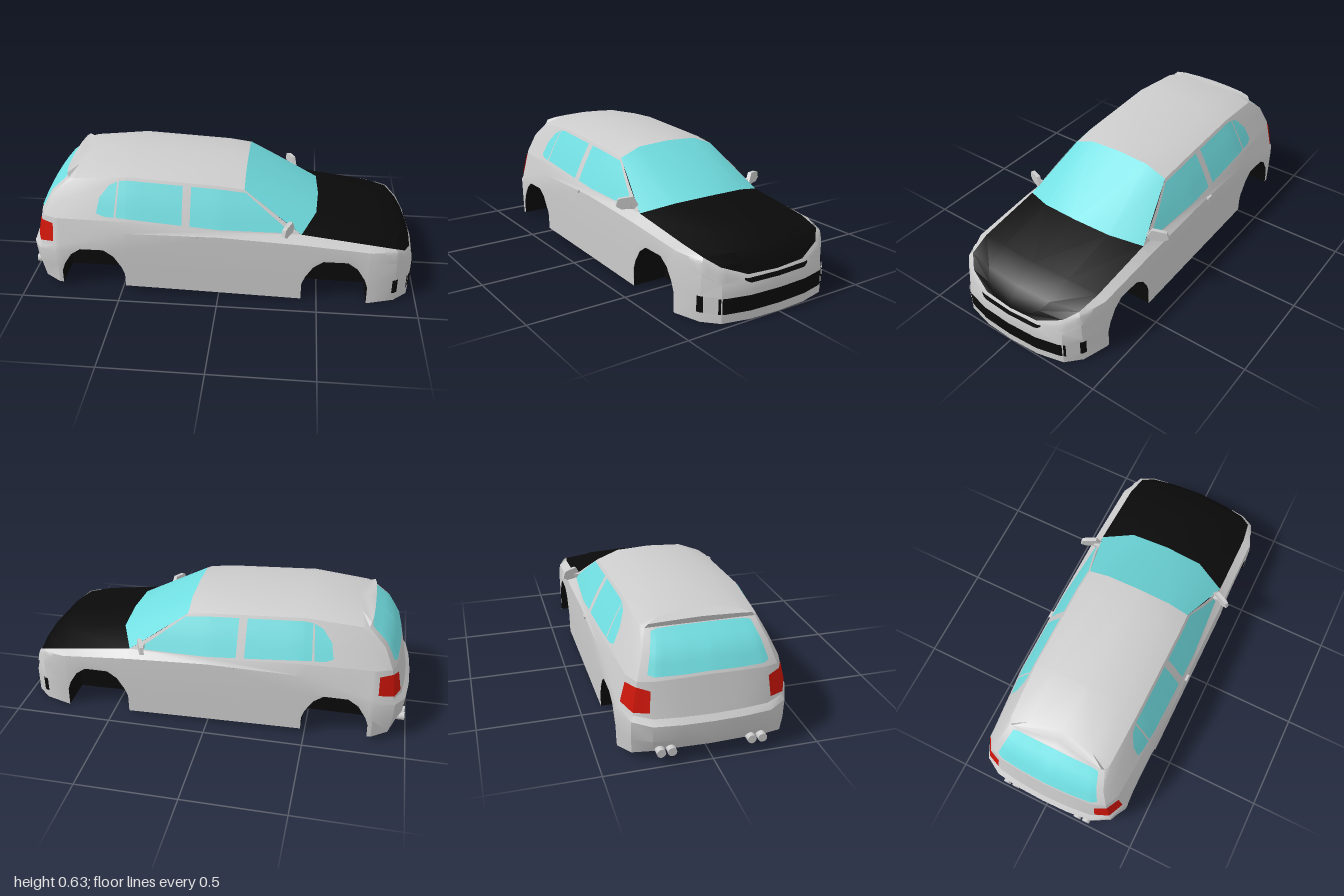
import * as THREE from 'three';
import { toCreasedNormals } from 'three/addons/utils/BufferGeometryUtils.js';

const mat = (color) => new THREE.MeshStandardMaterial({ color, side: THREE.DoubleSide });
const GREY = mat(0xcccccc), BLACK = mat(0x0a0a0a), GLASS = mat(0x70dde0), RED = mat(0xcc1408);
const V = (a) => new THREE.Vector3(...a);
const rowOf = (pts) => pts.map(V);

// Outline rows [x, y, z], nose centre (0) round the +z side to tail centre (12)
const sill = rowOf([[1, .005, 0], [.992, .005, .16], [.96, .005, .295], [.89, .005, .36], [.76, .005, .4], [.41, .01, .4],
  [0, .02, .4], [-.46, .03, .4], [-.83, .03, .395], [-.91, .04, .35], [-.945, .055, .26], [-.955, .06, .13], [-.96, .06, 0]]);
const bumper = rowOf([[1, .135, 0], [.992, .135, .16], [.96, .135, .295], [.89, .135, .36], [.76, .13, .4], [.41, .13, .402],
  [0, .13, .402], [-.46, .13, .402], [-.83, .13, .398], [-.925, .12, .355], [-.972, .12, .27], [-.988, .12, .14], [-.992, .12, 0]]);
const flank = rowOf([[.995, .17, 0], [.985, .17, .17], [.95, .18, .29], [.89, .22, .355], [.76, .25, .402], [.41, .25, .403],
  [0, .25, .403], [-.46, .25, .403], [-.83, .225, .4], [-.93, .21, .355], [-.98, .2, .27], [-.996, .2, .14], [-1, .2, 0]]);
const shoulder = rowOf([[.985, .2, 0], [.975, .2, .17], [.94, .235, .285], [.885, .28, .345], [.76, .3, .395], [.41, .33, .4],
  [0, .35, .4], [-.46, .345, .4], [-.83, .25, .392], [-.92, .235, .345], [-.958, .225, .26], [-.972, .225, .14], [-.978, .225, 0]]);
const belt = rowOf([[.98, .205, 0], [.97, .21, .16], [.93, .255, .28], [.875, .295, .335], [.76, .32, .353], [.41, .365, .357],
  [0, .375, .385], [-.46, .4, .38], [-.83, .39, .355], [-.9, .385, .32], [-.925, .39, .25], [-.935, .395, .13], [-.94, .4, 0]]);

// Bonnet crown, nose (0) to windscreen base (5)
const hoodMid = rowOf([[.98, .205, 0], [.974, .213, .09], [.95, .257, .16], [.91, .3, .19], [.79, .35, .2], [.48, .405, .2]]);
const hoodTop = rowOf([[.98, .205, 0], [.978, .214, 0], [.96, .258, 0], [.92, .302, 0], [.8, .355, 0], [.49, .41, 0]]);

// Roof rows, windscreen pillar (0) to tail centre (7)
const rail = rowOf([[.12, .56, .28], [0, .575, .283], [-.46, .6, .28], [-.74, .575, .268], [-.77, .57, .255],
  [-.775, .573, .2], [-.78, .575, .1], [-.78, .575, 0]]);
const roofMid = rowOf([[.12, .603, .17], [0, .617, .17], [-.46, .635, .17], [-.73, .61, .17], [-.778, .59, .24],
  [-.786, .597, .19], [-.79, .602, .1], [-.79, .605, 0]]);
const roofTop = rowOf([[.12, .612, 0], [0, .62, 0], [-.46, .64, 0], [-.7, .622, 0], [-.75, .613, 0],
  [-.77, .61, 0], [-.78, .607, 0], [-.79, .605, 0]]);

const along = (row, t) => {
  const i = Math.max(0, Math.min(Math.floor(t), row.length - 2));
  return row[i].clone().lerp(row[i + 1], t - i);
};
const surf = (rows, t, v) => along(rows.map((r) => along(r, t)), v);

// Wheel arch height above ground at x
const archX = [-.165, -.164, -.148, -.11, -.06, .06, .11, .148, .164, .165];
const archY = [0, .1, .145, .205, .24, .24, .205, .145, .1, 0];
const centres = [.585, -.645];
function arch(x) {
  for (const c of centres) for (let i = 0; i < 9; i++) {
    const d = x - c;
    if (d >= archX[i] - 1e-6 && d <= archX[i + 1] + 1e-6)
      return THREE.MathUtils.mapLinear(d, archX[i], archX[i + 1], archY[i], archY[i + 1]);
  }
  return 0;
}

// Mesh from a grid of points, mirrored to both sides of the car
function gridMesh(name, material, grid) {
  const pos = [];
  const tri = (a, b, c) => {
    if (b.clone().sub(a).cross(c.clone().sub(a)).length() < 1e-9) return;
    for (const p of [a, b, c]) pos.push(p.x, p.y, p.z);
    for (const p of [a, c, b]) pos.push(p.x, p.y, -p.z);
  };
  for (let r = 0; r + 1 < grid.length; r++) for (let c = 0; c + 1 < grid[r].length; c++) {
    const a = grid[r][c], b = grid[r + 1][c], d = grid[r][c + 1], e = grid[r + 1][c + 1];
    tri(a, b, d);
    tri(b, e, d);
  }
  const g = new THREE.BufferGeometry();
  g.setAttribute('position', new THREE.Float32BufferAttribute(pos, 3));
  const mesh = new THREE.Mesh(toCreasedNormals(g, 0.5), material);
  mesh.name = name;
  return mesh;
}

// Panel lying just above a surface; cols are [t, lower v, upper v]
function patch(name, material, rows, cols, lift = 0.004) {
  const edge = cols.map(V), n = 4, steps = (cols.length - 1) * 4, grid = [];
  for (let r = 0; r <= n; r++) {
    grid.push([]);
    for (let c = 0; c <= steps; c++) {
      const e = along(edge, c / 4), t = e.x, v = THREE.MathUtils.lerp(e.y, e.z, r / n);
      const p = surf(rows, t, v), h = 0.02;
      const dt = surf(rows, t + h, v).sub(surf(rows, t - h, v));
      const dv = surf(rows, t, v + h).sub(surf(rows, t, v - h));
      const centre = Math.abs(p.z) < 1e-5;
      p.addScaledVector(dv.cross(dt).normalize(), lift);
      if (centre) p.z = 0;
      grid[r].push(p);
    }
  }
  return gridMesh(name, material, grid);
}

export function createModel() {
  const car = new THREE.Group();
  car.name = 'car';
  const add = (m) => car.add(m);

  // Lower shell, with columns at every arch corner
  const toT = (x) => (x > 0 ? 4 + (.76 - x) / .35 : 7 + (-.46 - x) / .37);
  const ts = [...Array(13).keys(), ...centres.flatMap((c) => archX.map((d) => toT(c + d)))].sort((a, b) => a - b);
  const lower = [sill, bumper, flank, shoulder, belt];
  const clamp = (p) => { p.y = Math.max(p.y, arch(p.x)); return p; };
  add(gridMesh('bodyShell', GREY, lower.map((row) => ts.map((t) => clamp(along(row, t))))));

  // Floor with wheel wells
  const inset = (p) => { p.z = Math.min(p.z, .22); return p; };
  add(gridMesh('floorAndWheelWells', BLACK, [
    ts.map((t) => along(sill, t).setZ(0)),
    ts.map((t) => inset(along(sill, t))),
    ts.map((t) => inset(clamp(along(sill, t)))),
    ts.map((t) => clamp(along(sill, t))),
  ]));

  // Bonnet, cabin and windscreen
  add(gridMesh('bonnet', BLACK, [belt.slice(0, 6), hoodMid, hoodTop]));
  const cabinBelt = belt.slice(5);
  const waist = cabinBelt.map((p, i) => p.clone().lerp(rail[i], .5).add(V(i > 3 ? [-.02, .012, 0] : [0, 0, .004])));
  const cabin = [cabinBelt, waist, rail, roofMid, roofTop];
  add(gridMesh('cabinAndRoof', GREY, cabin));
  add(gridMesh('windscreen', GLASS, [[belt[5], rail[0]], [hoodMid[5], roofMid[0]], [hoodTop[5], roofTop[0]]]));

  // Side and rear glass
  add(patch('frontDoorWindow', GLASS, cabin, [[.1, .06, 1.85], [.5, .06, 1.85], [1, .08, 1.86], [1.31, .1, 1.86]]));
  add(patch('rearDoorWindow', GLASS, cabin, [[1.4, .1, 1.86], [2, .15, 1.86], [2.15, .18, 1.84]]));
  add(patch('quarterWindow', GLASS, cabin, [[2.18, .18, 1.83], [2.32, .2, 1.65], [2.44, .35, 1.1]]));
  add(patch('rearWindow', GLASS, cabin, [[4.55, .25, 1.85], [5, .15, 1.92], [6, .12, 1.95], [7, .12, 1.95]]));

  // Lamps and front openings
  add(patch('tailLamp', RED, lower, [[8.15, 3.15, 3.8], [9, 3.1, 3.85], [9.8, 3.15, 3.75]], .005));
  add(patch('headlamp', GREY, lower, [[1.3, 2.3, 3.6], [2, 2.1, 3.8], [3, 2.2, 3.8], [3.5, 2.9, 3.6]], .006));
  add(patch('upperGrille', BLACK, lower, [[0, 2.15, 2.85], [.9, 2.15, 2.85], [1.12, 2.6, 2.85]]));
  add(patch('lowerGrille', BLACK, lower, [[0, .33, .9], [1, .33, .9], [2.15, .33, .9]]));
  add(patch('fogLampFrame', BLACK, lower, [[2.85, .36, .95], [3.12, .36, .95]]));
  add(patch('fogLampPanel', GREY, lower, [[2.2, .36, .95], [2.82, .36, .95]], .006));

  // Mirrors, handles and twin exhausts on each side
  const outline = new THREE.Shape([[-.01, .39], [.01, .376], [.075, .376], [.1, .392], [.09, .425], [.075, .43], [.015, .436]]
    .map((p) => new THREE.Vector2(...p)));
  const mirrorGeo = new THREE.ExtrudeGeometry(outline, { depth: .02, bevelEnabled: false });
  for (const s of [1, -1]) {
    const side = new THREE.Group();
    side.name = s > 0 ? 'rightSideTrim' : 'leftSideTrim';
    const put = (name, geo, x, y, z) => {
      const m = new THREE.Mesh(geo, GREY);
      m.name = name;
      m.position.set(x, y, z * s);
      side.add(m);
      return m;
    };
    const mirror = put('mirror', mirrorGeo, s > 0 ? .37 : .35, 0, .348);
    mirror.rotation.y = -2 * s;
    put('mirrorStem', new THREE.BoxGeometry(.03, .02, .04), .345, .392, .352);
    put('doorHandle', new THREE.BoxGeometry(.035, .012, .014), -.12, .347, .402);
    for (const z of [.185, .235])
      put('exhaust', new THREE.CylinderGeometry(.021, .021, .09, 12).rotateZ(Math.PI / 2), -.945, .066, z);
    add(side);
  }
  return car;
}
